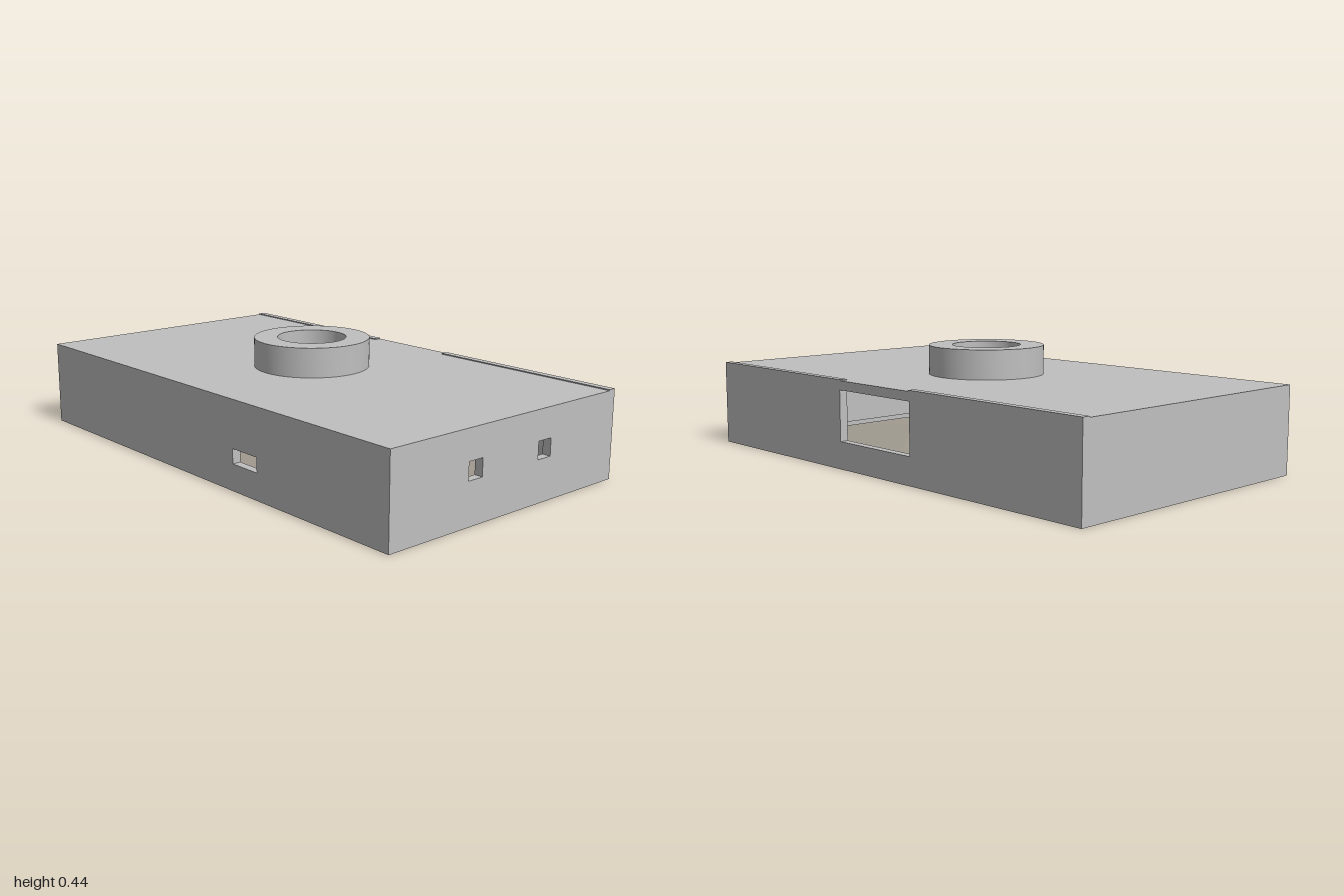
import * as THREE from 'three';
import { toCreasedNormals } from 'three/addons/utils/BufferGeometryUtils.js';

const W = 1, D = 0.555, WALL = 0.033, RIM = 0.025;
const LEDGE = 0.02, ROOF = 0.3, TOP = 0.333;

// Rectangle outline from corner to corner
function rect(Type, x0, y0, x1, y1) {
  const p = new Type();
  p.moveTo(x0, y0);
  p.lineTo(x1, y0);
  p.lineTo(x1, y1);
  p.lineTo(x0, y1);
  p.closePath();
  return p;
}

// Plate with cut-outs, extruded along +z
function plate(outline, holes, depth) {
  outline.holes.push(...holes);
  const geo = new THREE.ExtrudeGeometry(outline, { depth, bevelEnabled: false, curveSegments: 48 });
  return toCreasedNormals(geo, 0.5);
}

// Hollow cylinder standing between two heights
function tube(outer, inner, y0, y1, segments) {
  const profile = [[outer, y0], [outer, y1], [inner, y1], [inner, y0], [outer, y0]]
    .map(([x, y]) => new THREE.Vector2(x, y));
  return toCreasedNormals(new THREE.LatheGeometry(profile, segments), 0.5);
}

export function createModel() {
  const group = new THREE.Group();
  const grey = new THREE.MeshStandardMaterial({ color: 0xbfbfbf });
  grey.name = 'grey plastic';

  const add = (name, geo) => {
    const mesh = new THREE.Mesh(geo, grey);
    mesh.name = name;
    group.add(mesh);
    return mesh;
  };
  const { Shape, Path } = THREE;

  // Roof with the round bore
  const bore = new Path().absarc(0, 0, 0.132, 0, Math.PI * 2, true);
  add('roof', plate(rect(Shape, -W, -D, W, D), [bore], TOP - ROOF)
    .rotateX(-Math.PI / 2).translate(0, ROOF, 0));

  // Raised collar around the bore
  add('collar', tube(0.222, 0.132, TOP, 0.445, 96));

  // Front wall with its small slot
  add('frontWall', plate(rect(Shape, -W, LEDGE, W, ROOF),
    [rect(Path, 0.225, 0.1, 0.36, 0.155)], WALL).translate(0, 0, D - WALL));

  // Back wall with the large opening
  add('backWall', plate(rect(Shape, -W, LEDGE, W, ROOF),
    [rect(Path, -0.2, 0.105, 0.2, 0.298)], WALL).translate(0, 0, -D));

  // Side walls: two square ports on the left, none on the right
  const inner = D - WALL;
  const ports = [-1, 1].map((s) => rect(Path, s * 0.1725 - 0.0325, 0.157, s * 0.1725 + 0.0325, 0.222));
  for (const [name, holes, x] of [['leftWall', ports, W - WALL], ['rightWall', [], -W]]) {
    add(name, plate(rect(Shape, -inner, LEDGE, inner, ROOF), holes, WALL)
      .rotateY(Math.PI / 2).translate(x, 0, 0));
  }

  // Thinner bottom rim, leaving a ledge for a cover
  add('bottomRim', plate(rect(Shape, -W, -D, W, D),
    [rect(Path, -W + RIM, -D + RIM, W - RIM, D - RIM)], LEDGE).rotateX(-Math.PI / 2));

  // Thin strips along the back edge of the roof
  for (const s of [-1, 1]) {
    add('backStrip', new THREE.BoxGeometry(0.805, 0.004, 0.03))
      .position.set(s * 0.5975, TOP + 0.002, -D + 0.015);
  }

  // Screw posts in the corners
  for (const sx of [-1, 1]) {
    for (const sz of [-1, 1]) {
      add('screwPost', tube(0.055, 0.022, LEDGE, ROOF, 40))
        .position.set(sx * (W - 0.111), 0, sz * (D - 0.111));
    }
  }
  return group;
}
